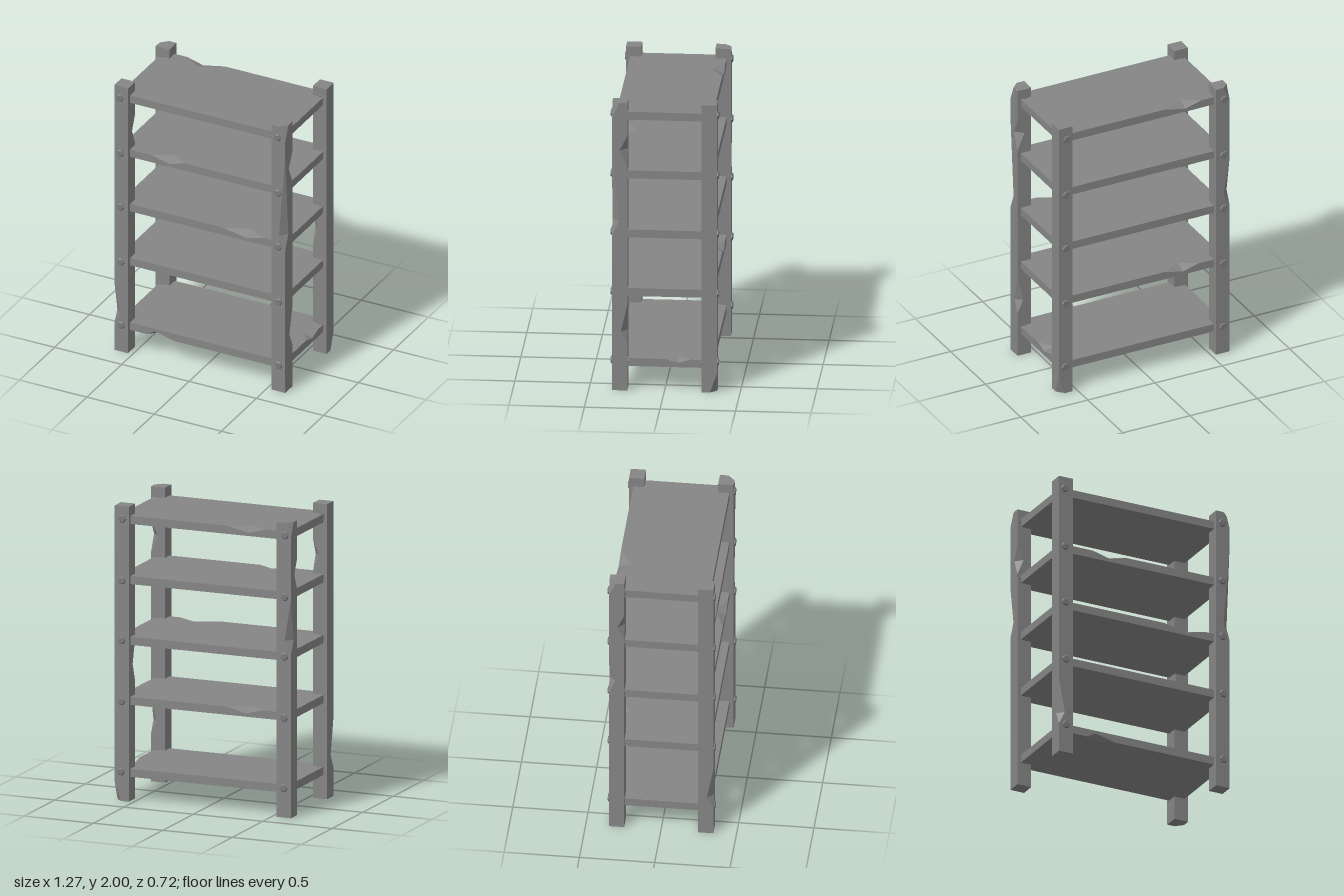
import * as THREE from 'three';

const material = new THREE.MeshStandardMaterial({ color: 0x858585, flatShading: true });
const boltMaterial = new THREE.MeshStandardMaterial({ color: 0x7a7a7e, flatShading: true });

// Joins rings of [x, y, z] points (counterclockwise from above, bottom to top) and caps both ends.
function loft(rings) {
  const positions = [];
  const tri = (a, b, c) => {
    const [A, B, C] = [a, b, c].map((p) => new THREE.Vector3(...p));
    if (B.clone().sub(A).cross(C.clone().sub(A)).length() > 1e-8) positions.push(...a, ...b, ...c);
  };
  for (let i = 0; i < rings.length - 1; i++) {
    const low = rings[i], high = rings[i + 1], n = low.length;
    for (let j = 0; j < n; j++) {
      const k = (j + 1) % n;
      tri(low[j], low[k], high[k]);
      tri(low[j], high[k], high[j]);
    }
  }
  const cap = (ring, up) => {
    const outline = ring.map((p) => new THREE.Vector2(p[0], -p[2]));
    for (const [a, b, c] of THREE.ShapeUtils.triangulateShape(outline, [])) {
      if (up) tri(ring[a], ring[b], ring[c]);
      else tri(ring[a], ring[c], ring[b]);
    }
  };
  cap(rings[0], false);
  cap(rings[rings.length - 1], true);
  const geometry = new THREE.BufferGeometry();
  geometry.setAttribute('position', new THREE.Float32BufferAttribute(positions, 3));
  geometry.computeVertexNormals();
  return geometry;
}

// Corner order shared by posts and shelves
const corners = [[1, 1], [1, -1], [-1, -1], [-1, 1]];

// Chip depth at height y, from [height, depth] pairs in rising order
function depthAt(chips, y) {
  for (let i = 0; i < chips.length - 1; i++) {
    const [y0, d0] = chips[i], [y1, d1] = chips[i + 1];
    if (y >= y0 && y <= y1) return d0 + ((d1 - d0) * (y - y0)) / (y1 - y0);
  }
  return 0;
}

// Square post whose four edges are chamfered by their chips
function postGeometry(edges) {
  const half = 0.051;
  const heights = [...new Set([0, 2, ...Object.values(edges).flat().map((c) => c[0])])].sort((a, b) => a - b);
  return loft(heights.map((y) => corners.flatMap(([x, z], i) => {
    const d = depthAt(edges[i] || [], y);
    return [corners[(i + 3) % 4], corners[(i + 1) % 4]].map(([nx, nz]) => [
      x * half + ((nx - x) / 2) * d, y, z * half + ((nz - z) / 2) * d,
    ]);
  })));
}

// Board with notches: side 0 left, 1 back, 3 front; the three stops in "at" run along that side
function shelfGeometry(chips) {
  const hx = 0.61, hz = 0.319, t = 0.0275;
  const rings = [[], [], [], []];
  const add = (x, z, inX = 0, inZ = 0, drop = 0, under = false) => {
    const top = under ? 0 : 1, bottom = under ? 1 : 0;
    rings[0].push([x + inX * bottom, -t, z + inZ * bottom]);
    rings[1].push([x, -t + drop * bottom, z]);
    rings[2].push([x, t - drop * top, z]);
    rings[3].push([x + inX * top, t, z + inZ * top]);
  };
  corners.forEach(([cx, cz], side) => {
    add(cx * hx, cz * hz);
    for (const c of chips.filter((chip) => chip.side === side)) {
      c.at.forEach((s, i) => {
        const deep = i === 1 ? c.depth : 0, drop = i === 1 ? c.drop : 0;
        if (side === 0) add(hx, s, -deep, 0, drop, c.under);
        else add(s, cz * hz, 0, -cz * deep, drop, c.under);
      });
    }
  });
  return loft(rings);
}

export function createModel() {
  const model = new THREE.Group();
  const add = (name, geometry, x, y, z) => {
    const mesh = new THREE.Mesh(geometry, material);
    mesh.name = name;
    mesh.position.set(x, y, z);
    model.add(mesh);
  };

  // Posts, with chips listed per corner
  const posts = [
    { name: 'frontLeftPost', x: 1, z: 1, edges: {
      0: [[1.07, 0], [1.18, 0.046], [1.78, 0], [1.89, 0], [2, 0.046]],
      1: [[0.32, 0], [0.41, 0.042], [0.6, 0], [1.55, 0], [1.67, 0.052], [1.77, 0]] } },
    { name: 'backLeftPost', x: 1, z: -1, edges: {
      1: [[0, 0.046], [0.13, 0]],
      3: [[0.8, 0], [0.92, 0.04], [1.08, 0]] } },
    { name: 'backRightPost', x: -1, z: -1, edges: {
      2: [[1.1, 0], [1.2, 0.045], [1.47, 0], [1.9, 0], [2, 0.045]],
      3: [[1.53, 0], [1.64, 0.045], [1.74, 0]] } },
    { name: 'frontRightPost', x: -1, z: 1, edges: {
      1: [[1.53, 0], [1.65, 0.045], [1.76, 0]],
      3: [[0.2, 0], [0.29, 0.043], [0.52, 0]] } },
  ];
  for (const p of posts) add(p.name, postGeometry(p.edges), p.x * 0.584, 0, p.z * 0.296);

  // Shelves, with their chips
  const shelves = [
    { y: 0.19, chips: [
      { side: 3, at: [-0.41, -0.35, -0.2], depth: 0.06, drop: 0.035, under: true },
      { side: 0, at: [0, -0.09, -0.17], depth: 0.06, drop: 0.025 }] },
    { y: 0.678, chips: [{ side: 1, at: [-0.17, -0.3, -0.42], depth: 0.07, drop: 0.032 }] },
    { y: 1.085, chips: [{ side: 3, at: [0.16, 0.33, 0.46], depth: 0.07, drop: 0.033 }] },
    { y: 1.497, chips: [{ side: 3, at: [-0.37, -0.24, -0.12], depth: 0.07, drop: 0.033 }] },
    { y: 1.905, chips: [{ side: 1, at: [-0.16, -0.32, -0.44], depth: 0.08, drop: 0.033 }] },
  ];
  for (const s of shelves) add('shelf', shelfGeometry(s.chips), 0, s.y, 0);

  // Hexagonal bolts through every post, with a tapered head on the outside
  const shank = new THREE.CylinderGeometry(0.028, 0.028, 0.112, 6).rotateY(Math.PI / 6).rotateX(Math.PI / 2);
  const head = new THREE.CylinderGeometry(0.022, 0.028, 0.006, 6).rotateY(Math.PI / 6).rotateX(Math.PI / 2);
  head.translate(0, 0, 0.059);
  for (const y of [0.2, 0.677, 1.092, 1.497, 1.915]) {
    for (const [sx, sz] of corners) {
      const bolt = new THREE.Group();
      bolt.name = 'bolt';
      bolt.position.set(sx * 0.586 + 0.004 - 0.006 * y, y, sz * 0.296);
      if (sz < 0) bolt.rotation.y = Math.PI;
      for (const [name, geometry] of [['boltShank', shank], ['boltHead', head]]) {
        const part = new THREE.Mesh(geometry, boltMaterial);
        part.name = name;
        bolt.add(part);
      }
      model.add(bolt);
    }
  }
  return model;
}
